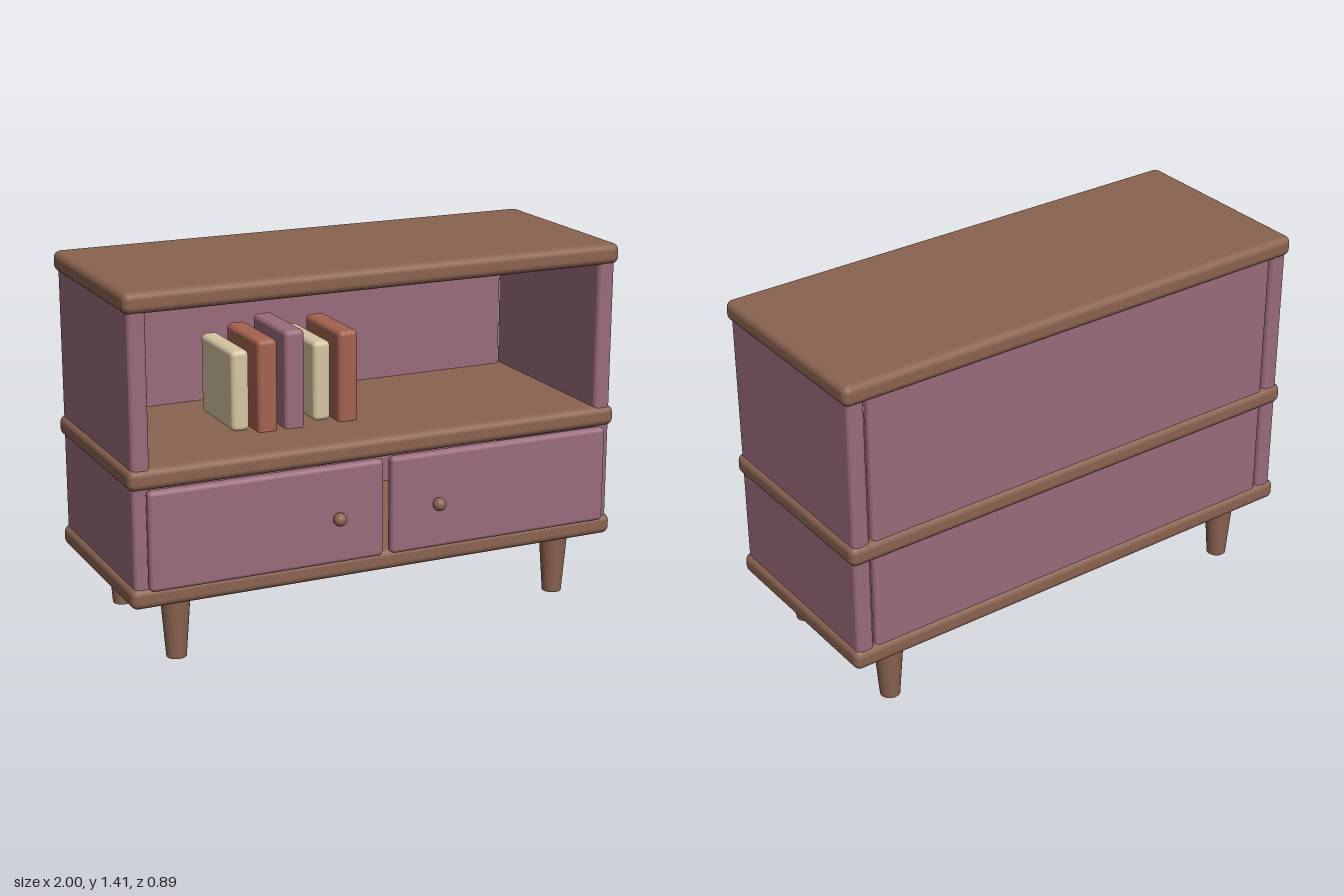
import * as THREE from 'three';
import { RoundedBoxGeometry } from 'three/addons/geometries/RoundedBoxGeometry.js';

const material = (name, color) => {
  const m = new THREE.MeshStandardMaterial({ color });
  m.name = name;
  return m;
};

export function createModel() {
  const wood = material('brown wood', 0x8a6350);
  const paint = material('mauve paint', 0x9a6c7c);
  const cream = material('cream', 0xd6c5a3);
  const rust = material('rust', 0xa5624f);

  const model = new THREE.Group();
  model.name = 'sideboard';

  const add = (name, geometry, mat, x, y, z) => {
    const mesh = new THREE.Mesh(geometry, mat);
    mesh.name = name;
    mesh.position.set(x, y, z);
    model.add(mesh);
    return mesh;
  };
  const box = (w, h, d, r) => new RoundedBoxGeometry(w, h, d, 4, r);

  const midZ = -0.04;

  // Bottom, shelf and top boards
  [['bottomBoard', 0.28], ['shelfBoard', 0.727], ['topBoard', 1.37]].forEach(([name, y]) =>
    add(name, box(2, 0.08, 0.81, 0.028), wood, 0, y, midZ));

  // Back panel, held just clear of the sides
  add('backPanel', box(1.81, 1.09, 0.04, 0.016), paint, 0, 0.825, -0.413);

  // Mirrored parts
  for (const [side, s] of [['left', 1], ['right', -1]]) {
    add(side + 'SidePanel', box(0.07, 1.09, 0.787, 0.02), paint, s * 0.95, 0.825, midZ);
    add(side + 'Drawer', box(0.925, 0.38, 0.045, 0.018), paint, s * 0.4785, 0.504, 0.377);
    add(side + 'Knob', new THREE.SphereGeometry(0.026, 24, 16), wood, s * 0.206, 0.493, 0.419);

    // Tapered legs
    for (const [end, z] of [['Front', 0.26], ['Back', -0.34]]) {
      add(side + end + 'Leg', new THREE.CylinderGeometry(0.058, 0.038, 0.26, 28), wood, s * 0.8, 0.13, z);
    }
  }

  // Books: centre x, width, height, colour
  [
    [-0.468, 0.07, 0.31, cream],
    [-0.358, 0.08, 0.37, rust],
    [-0.248, 0.08, 0.42, paint],
    [-0.137, 0.07, 0.31, cream],
    [-0.028, 0.08, 0.37, rust],
  ].forEach(([x, w, h, mat], i) =>
    add('book' + (i + 1), box(w, h, 0.32, 0.02), mat, x, 0.935, -0.045));

  return model;
}
